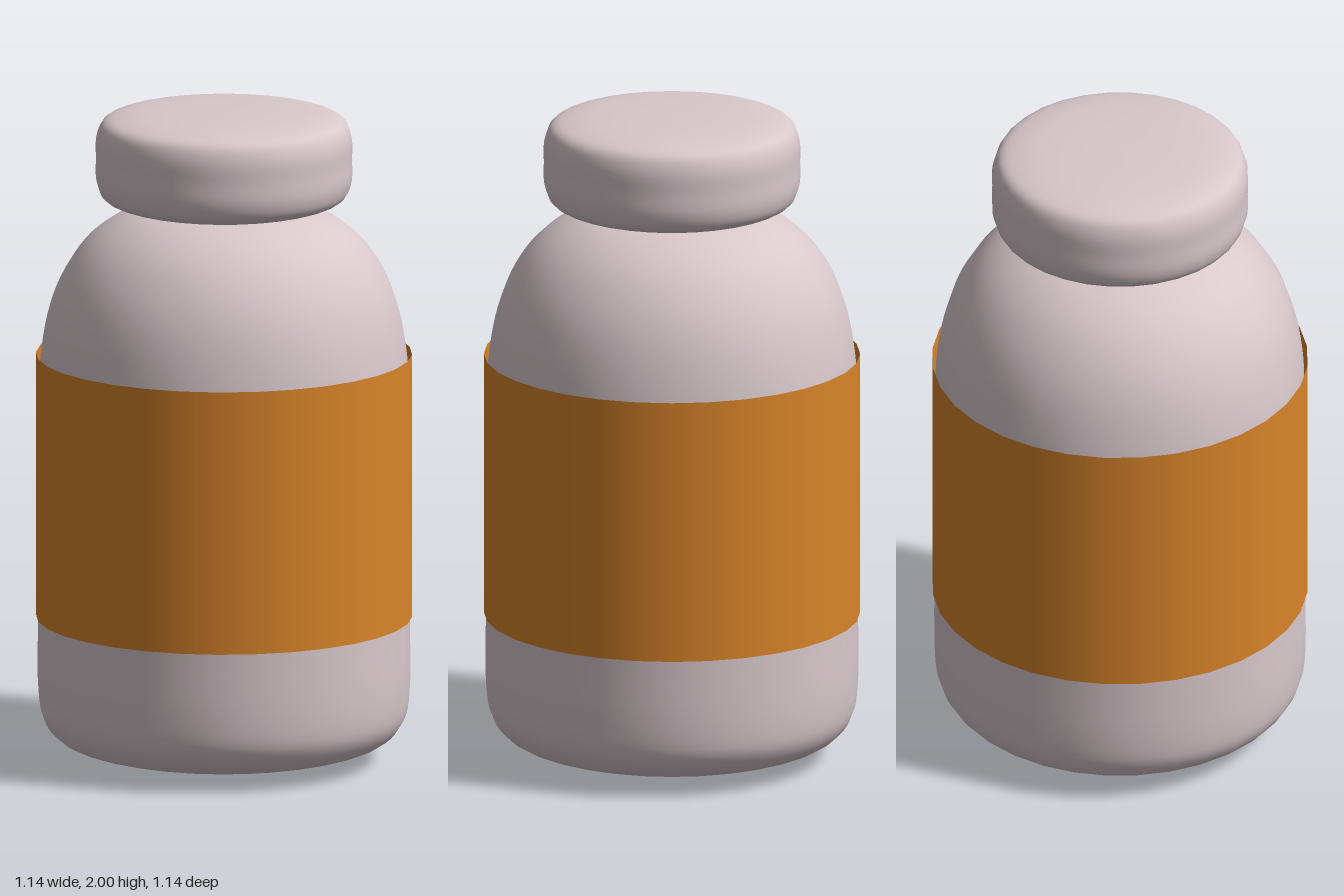
import * as THREE from 'three';

const SEGMENTS = 32;

// Revolves a smooth curve through a few [radius, height] points
function turned(name, points, samples, material) {
  const curve = new THREE.CatmullRomCurve3(
    points.map(([r, y]) => new THREE.Vector3(r, y, 0)), false, 'centripetal');
  const profile = curve.getPoints(samples).map(p => new THREE.Vector2(Math.max(p.x, 0), p.y));
  const mesh = new THREE.Mesh(new THREE.LatheGeometry(profile, SEGMENTS), material);
  mesh.name = name;
  return mesh;
}

export function createModel() {
  const group = new THREE.Group();
  group.name = 'bottle';
  const shell = new THREE.MeshStandardMaterial({ color: 0xd8c8cc, side: THREE.DoubleSide });
  const orange = new THREE.MeshStandardMaterial({ color: 0xd9842a, side: THREE.DoubleSide });

  // Rounded body with a domed shoulder closing under the lid
  group.add(turned('body', [
    [0, 0], [0.2, 0.012], [0.4, 0.035], [0.5, 0.07], [0.545, 0.125], [0.56, 0.2],
    [0.562, 0.44], [0.562, 0.8], [0.56, 1.12], [0.553, 1.25], [0.525, 1.4],
    [0.48, 1.51], [0.41, 1.605], [0.32, 1.67], [0.22, 1.703], [0, 1.71],
  ], 60, shell));

  // Pill-edged lid, slightly domed above and below
  group.add(turned('lid', [
    [0, 1.695], [0.2, 1.7], [0.31, 1.712], [0.365, 1.735], [0.385, 1.78],
    [0.387, 1.85], [0.385, 1.92], [0.365, 1.965], [0.31, 1.985], [0.2, 1.996], [0, 2],
  ], 44, shell));

  // Label band wrapped around the body
  const label = new THREE.Mesh(
    new THREE.CylinderGeometry(0.568, 0.568, 0.81, SEGMENTS, 1, true), orange);
  label.name = 'label';
  label.position.y = 0.845;
  group.add(label);

  return group;
}
